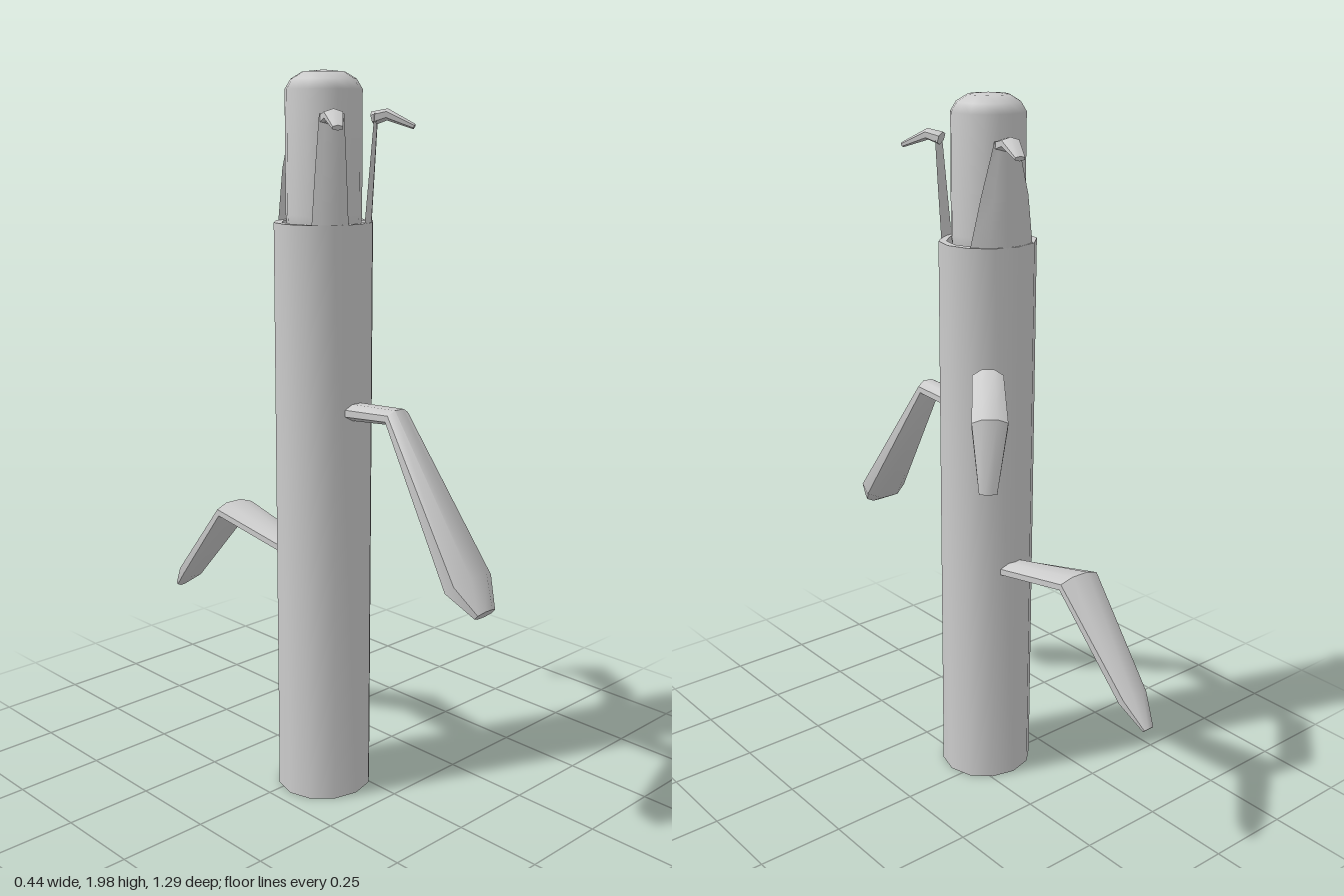
import * as THREE from 'three';
import { toCreasedNormals } from 'three/addons/utils/BufferGeometryUtils.js';

const material = new THREE.MeshStandardMaterial({ color: 0xcccccc, side: THREE.DoubleSide });
const CX = -0.073, CZ = 0.04; // stem axis
const rad = THREE.MathUtils.degToRad;

// Builds an indexed surface from rings of points; closed rings get end caps
function skin(rings, closed) {
  const n = rings[0].length, index = [];
  for (let i = 0; i < rings.length - 1; i++) {
    for (let j = 0; j < (closed ? n : n - 1); j++) {
      const a = i * n + j, b = i * n + (j + 1) % n;
      index.push(a, b, b + n, a, b + n, a + n);
    }
  }
  if (closed) {
    const last = (rings.length - 1) * n;
    for (let j = 1; j < n - 1; j++) index.push(0, j + 1, j, last, last + j, last + j + 1);
  }
  const geometry = new THREE.BufferGeometry().setFromPoints(rings.flat());
  geometry.setIndex(index);
  geometry.computeVertexNormals();
  return geometry;
}

// Sweeps an oval section along [x, y, z, width, thickness] stations in one vertical plane
function loft(stations, sides = 8) {
  const pts = stations.map(([x, y, z]) => new THREE.Vector3(x, y, z));
  const run = pts.at(-1).clone().sub(pts[0]).setY(0).normalize();
  const across = new THREE.Vector3(0, 1, 0).cross(run);
  const rings = stations.map(([, , , w, t], i) => {
    const tangent = new THREE.Vector3();
    if (i > 0) tangent.add(pts[i].clone().sub(pts[i - 1]).normalize());
    if (i < pts.length - 1) tangent.add(pts[i + 1].clone().sub(pts[i]).normalize());
    const up = tangent.normalize().clone().cross(across);
    return Array.from({ length: sides }, (_, k) => {
      const a = ((k + 0.5) / sides) * Math.PI * 2;
      return pts[i].clone()
        .addScaledVector(across, Math.cos(a) * w / 2)
        .addScaledVector(up, Math.sin(a) * t / 2);
    });
  });
  return toCreasedNormals(skin(rings, true), 0.9);
}

// Point around the stem axis
function around(deg, r, y) {
  return new THREE.Vector3(CX + Math.cos(rad(deg)) * r, y, CZ + Math.sin(rad(deg)) * r);
}

export function createModel() {
  const group = new THREE.Group();
  const add = (name, geometry) => {
    const mesh = new THREE.Mesh(geometry, material);
    mesh.name = name;
    group.add(mesh);
    return mesh;
  };
  const lathe = (points, sides) =>
    new THREE.LatheGeometry(points.map(([r, y]) => new THREE.Vector2(r, y)), sides);

  // Hollow stem, open at both ends
  const stem = add('stem', toCreasedNormals(
    lathe([[0.122, 0], [0.136, 0], [0.136, 1.6], [0.114, 1.6], [0.122, 0]], 12), 0.8));
  stem.position.set(CX, 0, CZ);
  stem.scale.z = 0.95;

  // Rounded core rising out of the stem
  const core = add('core', lathe(
    [[0, 1.5], [0.09, 1.5], [0.1, 1.62], [0.1, 1.935], [0.085, 1.96], [0.055, 1.978], [0, 1.983]], 16));
  core.position.set(CX, 0, CZ);

  // Tapering petals standing on the rim: base start angle, base end angle, tip angle
  [[30, 77, 54], [103, 148, 125], [238, 332, 290]].forEach(([from, to, tip], i) => {
    const petal = new THREE.Group();
    petal.name = 'petal' + (i + 1);
    const rings = [0, 0.5, 1].map((t) => Array.from({ length: 5 }, (_, k) => {
      const base = THREE.MathUtils.lerp(from, to, k / 4);
      const top = tip + (k / 4 - 0.5) * 26;
      return around(THREE.MathUtils.lerp(base, top, t), 0.125 + 0.015 * t, 1.59 + 0.285 * t);
    }));
    const blade = new THREE.Mesh(skin(rings.reverse(), false), material);
    blade.name = 'petalBlade';
    const hook = new THREE.Mesh(loft([
      [...around(tip, 0.128, 1.862), 0.07, 0.035],
      [...around(tip, 0.165, 1.872), 0.055, 0.03],
      [...around(tip, 0.235, 1.842), 0.03, 0.014],
    ], 6), material);
    hook.name = 'petalHook';
    petal.add(blade, hook);
    group.add(petal);
  });

  // Drooping leaves
  add('frontLeaf', loft([
    [CX, 1.105, 0.1, 0.08, 0.05],
    [CX, 1.12, 0.31, 0.08, 0.05],
    [CX - 0.002, 0.735, 0.565, 0.15, 0.1],
    [CX - 0.012, 0.675, 0.63, 0.07, 0.04],
  ]));
  add('backLeaf', loft([
    [CX, 0.665, -0.04, 0.095, 0.045],
    [CX - 0.002, 0.73, -0.345, 0.14, 0.05],
    [CX + 0.008, 0.48, -0.575, 0.09, 0.06],
    [CX + 0.012, 0.415, -0.64, 0.035, 0.02],
  ]));
  add('sideLeaf', loft([
    [-0.01, 1.16, -0.03, 0.08, 0.05],
    [0.045, 1.265, -0.105, 0.09, 0.055],
    [0.17, 1.205, -0.265, 0.1, 0.075],
    [0.2, 1.035, -0.295, 0.05, 0.02],
  ]));
  return group;
}
